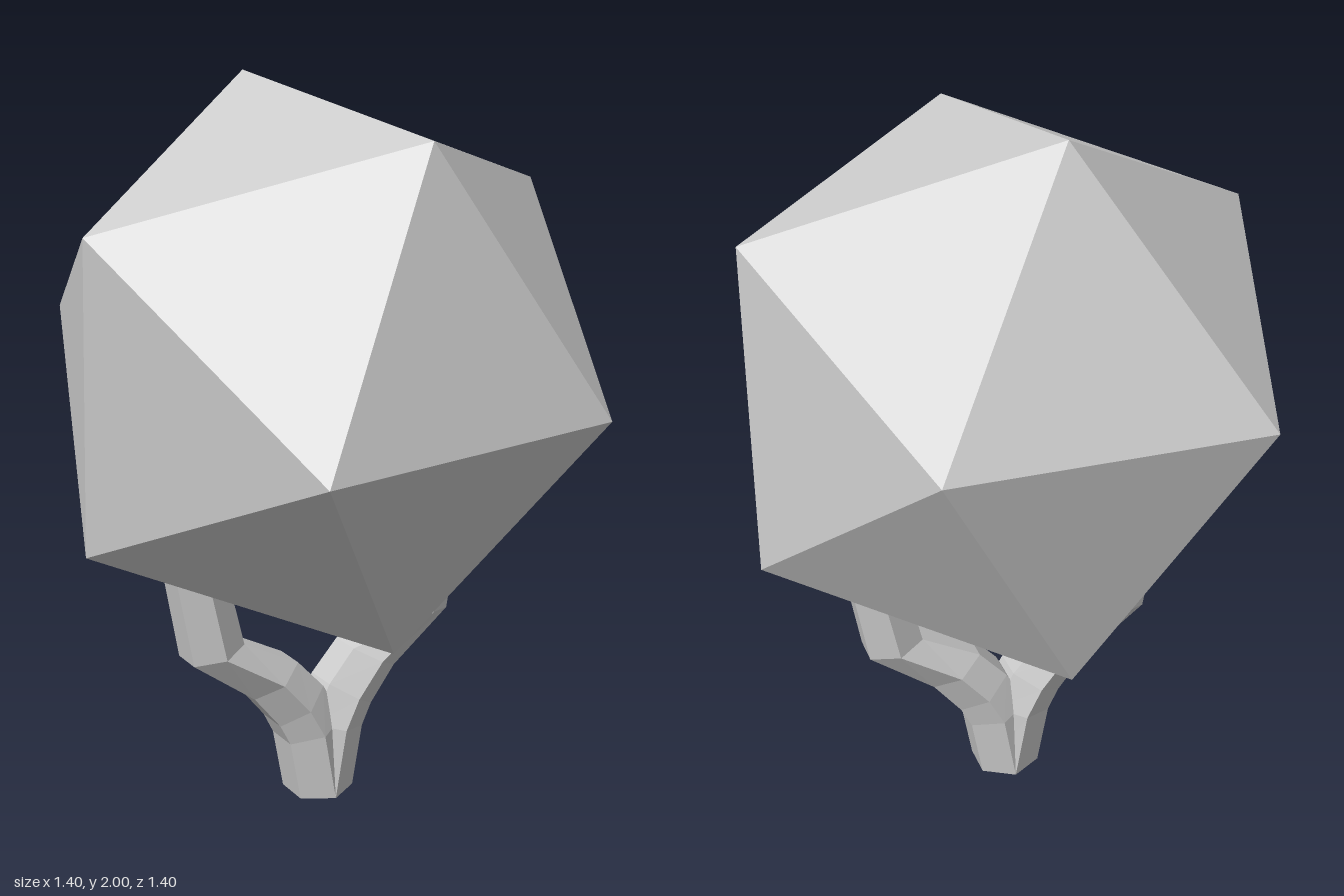
import * as THREE from 'three';

const material = new THREE.MeshStandardMaterial({ color: 0xcccccc, flatShading: true });

// Rings of a forked limb, bottom to top: centre x, centre y, radius, outward tilt (degrees)
const RINGS = [
  [0, 0, 0.1, 0],
  [0.035, 0.2, 0.1, 15],
  [0.08, 0.285, 0.096, 33],
  [0.16, 0.38, 0.092, 30],
  [0.335, 0.495, 0.09, 12],
  [0.385, 0.74, 0.083, 6],
];

// Six-sided limb: a cylinder whose rows are moved onto the rings
function limbGeometry() {
  const rows = RINGS.length - 1;
  const geometry = new THREE.CylinderGeometry(1, 1, 1, 6, rows);
  const p = geometry.attributes.position;
  for (let i = 0; i < p.count; i++) {
    const [cx, cy, r, tilt] = RINGS[Math.round((p.getY(i) + 0.5) * rows)];
    const a = THREE.MathUtils.degToRad(tilt);
    const out = p.getX(i) * r;
    p.setXYZ(i, cx + out * Math.cos(a), cy - out * Math.sin(a), p.getZ(i) * r);
  }
  geometry.computeVertexNormals();
  return geometry;
}

export function createModel() {
  const group = new THREE.Group();
  group.name = 'tree';

  // Forked trunk: two limbs sharing one base
  const limb = limbGeometry();
  ['leftLimb', 'rightLimb'].forEach((name, i) => {
    const mesh = new THREE.Mesh(limb, material);
    mesh.name = name;
    mesh.rotation.y = i * Math.PI;
    group.add(mesh);
  });

  // Crown: an icosahedron turned so that its top edge runs from back to front
  const back = new THREE.Vector3(-0.04, 0.74, -0.33);
  const front = new THREE.Vector3(0, 0.62, 0.52);
  const xAxis = front.clone().sub(back).normalize();
  const zAxis = xAxis.clone().cross(front.clone().add(back)).normalize();
  const yAxis = zAxis.clone().cross(xAxis);
  const crown = new THREE.Mesh(new THREE.IcosahedronGeometry(0.81, 0), material);
  crown.name = 'crown';
  crown.quaternion.setFromRotationMatrix(new THREE.Matrix4().makeBasis(xAxis, yAxis, zAxis));
  crown.position.y = 1.26;
  group.add(crown);

  return group;
}
